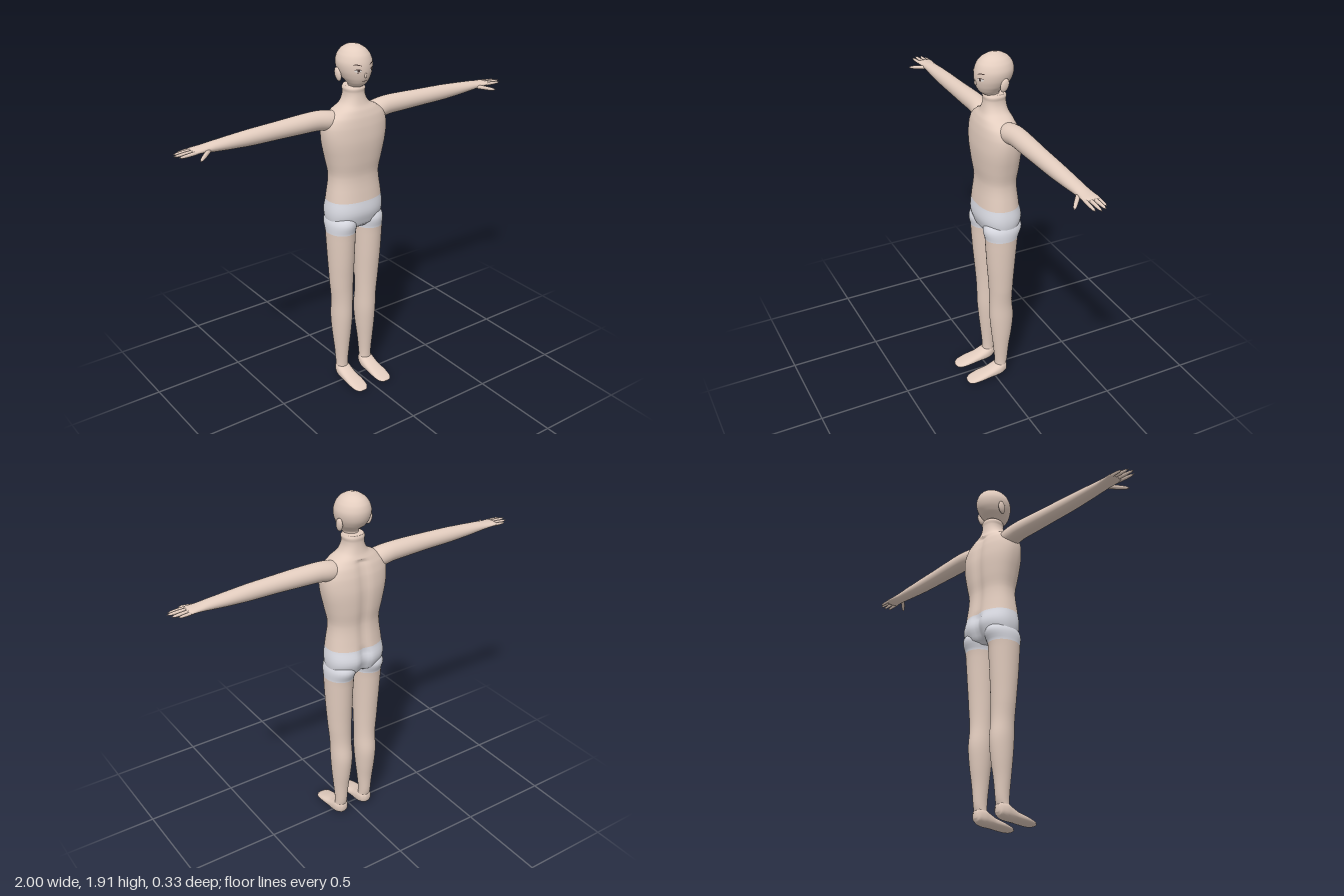
import * as THREE from 'three';

const mat = (name, color) => {
  const m = new THREE.MeshStandardMaterial({ color });
  m.name = name;
  return m;
};

// Cubic interpolation between cross-sections; every given section stays an exact row.
function densify(keys, steps) {
  const rows = [];
  for (let i = 0; i < keys.length - 1; i++) {
    const a = keys[Math.max(i - 1, 0)], b = keys[i], c = keys[i + 1], d = keys[Math.min(i + 2, keys.length - 1)];
    for (let s = 0; s < steps; s++) {
      const t = s / steps;
      rows.push(b.map((_, k) => k === 0 ? b[0] + (c[0] - b[0]) * t
        : 0.5 * (2 * b[k] + (c[k] - a[k]) * t + (2 * a[k] - 5 * b[k] + 4 * c[k] - d[k]) * t * t
          + (3 * b[k] - a[k] - 3 * c[k] + d[k]) * t * t * t)));
    }
  }
  rows.push(keys[keys.length - 1]);
  return rows;
}

// Loft along y through rounded sections [y, centreX, radiusX, centreZ, radiusZ].
// power above 2 squares the section; band(y) picks the material slot of a row.
function loft(keys, { steps = 4, sides = 32, power = 2, band = () => 0, shape } = {}) {
  const rows = densify(keys, steps), pos = [], idx = [], geo = new THREE.BufferGeometry();
  const curve = v => Math.sign(v) * Math.abs(v) ** (2 / power);
  for (const [y, cx, rx, cz, rz] of rows) {
    for (let j = 0; j < sides; j++) {
      const a = j / sides * Math.PI * 2;
      const p = new THREE.Vector3(cx + rx * curve(Math.cos(a)), y, cz + rz * curve(Math.sin(a)));
      if (shape) shape(p);
      pos.push(p.x, p.y, p.z);
    }
  }
  const n = rows.length, first = rows[0], last = rows[n - 1];
  pos.push(first[1], first[0], first[3], last[1], last[0], last[3]);
  const add = (slot, ...tri) => { geo.addGroup(idx.length, 3, slot); idx.push(...tri); };
  const startGroups = [];
  for (let i = 0; i < n - 1; i++) {
    const from = idx.length;
    for (let j = 0; j < sides; j++) {
      const k = (j + 1) % sides, a = i * sides + j, b = i * sides + k;
      idx.push(a, a + sides, b + sides, a, b + sides, b);
    }
    startGroups.push([from, idx.length - from, band((rows[i][0] + rows[i + 1][0]) / 2)]);
  }
  startGroups.forEach(g => geo.addGroup(...g));
  for (let j = 0; j < sides; j++) {
    const k = (j + 1) % sides;
    add(band(first[0]), n * sides, j, k);
    add(band(last[0]), n * sides + 1, (n - 1) * sides + k, (n - 1) * sides + j);
  }
  geo.setAttribute('position', new THREE.Float32BufferAttribute(pos, 3));
  geo.setIndex(idx);
  geo.computeVertexNormals();
  return geo;
}

function mirrored(geo) {
  const g = geo.clone().scale(-1, 1, 1), ix = g.index;
  for (let i = 0; i < ix.count; i += 3) {
    const b = ix.getX(i + 1);
    ix.setX(i + 1, ix.getX(i + 2));
    ix.setX(i + 2, b);
  }
  g.computeVertexNormals();
  return g;
}

export function createModel() {
  const root = new THREE.Group();
  root.name = 'figure';
  const skin = mat('skin', 0xe3cdbf), cloth = mat('shorts cloth', 0xdddee6);
  const dark = mat('face lines', 0x4a3a36), white = mat('eye white', 0xf0ece8);
  const add = (name, geo, material) => {
    const many = Array.isArray(material);
    if (!many) geo.clearGroups();
    const m = new THREE.Mesh(geo, material);
    m.name = name;
    root.add(m);
  };
  const pair = (name, geo, material) => {
    add(name + 'Left', geo, material);
    add(name + 'Right', mirrored(geo), material);
  };

  // Torso, pelvis and neck, with a groove down the back
  add('torso', loft([
    [0.945, 0, 0.11, -0.04, 0.07], [0.965, 0, 0.15, -0.045, 0.095], [1.03, 0, 0.163, -0.047, 0.117],
    [1.1, 0, 0.156, -0.043, 0.108], [1.23, 0, 0.141, -0.043, 0.095], [1.32, 0, 0.158, -0.042, 0.105],
    [1.42, 0, 0.18, -0.04, 0.111], [1.5, 0, 0.185, -0.038, 0.104], [1.55, 0, 0.167, -0.036, 0.093],
    [1.585, 0, 0.125, -0.035, 0.08], [1.61, 0, 0.08, -0.036, 0.068], [1.64, 0, 0.06, -0.037, 0.06],
    [1.67, 0, 0.054, -0.038, 0.056], [1.69, 0, 0.057, -0.038, 0.058], [1.705, 0, 0.05, -0.04, 0.051],
  ], {
    sides: 64, power: 2.3, band: y => (y < 1.1 ? 1 : 0),
    shape: p => {
      if (p.z < -0.05 && p.y < 1.58) p.z += (p.y < 1.1 ? 0.022 : 0.012) * Math.exp(-((p.x / 0.028) ** 2));
    },
  }), [skin, cloth]);

  // Legs with the short trouser ends
  pair('leg', loft([
    [0.035, 0.08, 0.036, -0.038, 0.028], [0.1, 0.08, 0.034, -0.045, 0.036], [0.2, 0.08, 0.042, -0.045, 0.045],
    [0.3, 0.079, 0.052, -0.047, 0.058], [0.4, 0.078, 0.058, -0.047, 0.067], [0.5, 0.079, 0.058, -0.041, 0.063],
    [0.6, 0.083, 0.064, -0.039, 0.066], [0.75, 0.086, 0.071, -0.037, 0.077], [0.92, 0.087, 0.077, -0.038, 0.09],
    [0.98, 0.084, 0.079, -0.044, 0.106], [1.04, 0.08, 0.06, -0.045, 0.08],
  ], { band: y => (y > 0.92 ? 1 : 0) }), [skin, cloth]);

  // Feet, lofted from heel to toe: [z, x, half width, -height centre, half height]
  pair('foot', loft([
    [-0.078, 0.08, 0.012, -0.05, 0.016], [-0.068, 0.08, 0.03, -0.05, 0.034], [-0.04, 0.08, 0.041, -0.046, 0.042],
    [-0.01, 0.08, 0.043, -0.037, 0.036], [0.03, 0.08, 0.043, -0.028, 0.026], [0.09, 0.08, 0.046, -0.02, 0.019],
    [0.14, 0.08, 0.041, -0.012, 0.012], [0.16, 0.08, 0.026, -0.008, 0.007], [0.166, 0.08, 0.008, -0.008, 0.002],
  ], { power: 2.4 }).rotateX(Math.PI / 2), skin);

  // Arms and palms, lofted outward: [x, -height, half height, z, half depth]
  pair('arm', loft([
    [0.08, -1.53, 0.045, -0.045, 0.05], [0.15, -1.54, 0.052, -0.048, 0.055], [0.22, -1.549, 0.05, -0.05, 0.051],
    [0.32, -1.55, 0.048, -0.048, 0.049], [0.45, -1.549, 0.044, -0.046, 0.045], [0.6, -1.547, 0.04, -0.046, 0.042],
    [0.72, -1.546, 0.032, -0.047, 0.039], [0.8, -1.546, 0.025, -0.047, 0.036], [0.85, -1.546, 0.018, -0.048, 0.037],
    [0.895, -1.546, 0.013, -0.048, 0.041], [0.912, -1.545, 0.008, -0.048, 0.038],
  ]).rotateZ(-Math.PI / 2).translate(0, 0, 0), skin);

  // Fingers and thumb: start, tip, radius
  const finger = (name, from, to, r) => {
    const a = new THREE.Vector3(...from), dir = new THREE.Vector3(...to).sub(a), len = dir.length();
    const geo = loft([[0, 0, r, 0, r], [len * 0.5, 0, r * 0.95, 0, r * 0.95], [len * 0.85, 0, r * 0.7, 0, r * 0.7],
      [len, 0, r * 0.15, 0, r * 0.15]], { sides: 10, steps: 2 });
    geo.applyQuaternion(new THREE.Quaternion().setFromUnitVectors(new THREE.Vector3(0, 1, 0), dir.normalize()));
    pair(name, geo.translate(a.x, a.y, a.z), skin);
  };
  finger('littleFinger', [0.89, 1.545, -0.079], [0.965, 1.541, -0.081], 0.008);
  finger('ringFinger', [0.89, 1.547, -0.06], [0.99, 1.543, -0.062], 0.009);
  finger('middleFinger', [0.89, 1.547, -0.038], [1, 1.544, -0.035], 0.009);
  finger('indexFinger', [0.89, 1.545, -0.017], [0.985, 1.541, -0.012], 0.009);
  finger('thumb', [0.83, 1.54, -0.022], [0.908, 1.524, 0.044], 0.011);

  // Head
  const headKeys = [
    [1.69, 0, 0.035, -0.035, 0.035], [1.708, 0, 0.04, -0.015, 0.045], [1.725, 0, 0.052, -0.012, 0.06],
    [1.75, 0, 0.07, -0.022, 0.082], [1.785, 0, 0.085, -0.03, 0.097], [1.825, 0, 0.09, -0.035, 0.1],
    [1.86, 0, 0.079, -0.037, 0.09], [1.885, 0, 0.06, -0.038, 0.07], [1.902, 0, 0.034, -0.038, 0.041],
    [1.91, 0, 0.008, -0.038, 0.01],
  ];
  add('head', loft(headKeys, { sides: 48 }), skin);
  pair('ear', new THREE.SphereGeometry(1, 20, 14).scale(0.013, 0.036, 0.022).rotateX(-0.25)
    .rotateZ(-0.1).translate(0.086, 1.765, -0.05), skin);
  add('nose', new THREE.SphereGeometry(1, 16, 12).scale(0.007, 0.014, 0.008).translate(0, 1.77, 0.064), skin);

  // Face details: thin faces laid on the surface of the head
  const headRows = densify(headKeys, 12);
  const faceZ = (x, y) => {
    let i = 0;
    while (i < headRows.length - 2 && headRows[i + 1][0] < y) i++;
    const a = headRows[i], b = headRows[i + 1], t = (y - a[0]) / (b[0] - a[0]);
    const [, , rx, cz, rz] = a.map((v, k) => v + (b[k] - v) * t);
    return cz + rz * Math.sqrt(Math.max(0, 1 - (x / rx) ** 2));
  };
  const patch = (x, y, w, h, { arch = 0, tilt = 0, lift = 0.002 } = {}) => {
    const g = new THREE.PlaneGeometry(2, 2, 10, 4), p = g.attributes.position;
    for (let i = 0; i < p.count; i++) {
      const u = p.getX(i), v = p.getY(i);
      const px = x + u * w / 2, py = y + v * h / 2 * Math.sqrt(1.04 - u * u) + arch * (1 - u * u) + tilt * u;
      p.setXYZ(i, px, py, faceZ(px, py) + lift);
    }
    g.computeVertexNormals();
    return g;
  };
  pair('eyebrow', patch(0.041, 1.823, 0.036, 0.005, { arch: 0.003, tilt: 0.003 }), dark);
  pair('eyeWhite', patch(0.04, 1.796, 0.03, 0.014), white);
  pair('iris', patch(0.039, 1.796, 0.011, 0.013, { lift: 0.003 }), dark);
  pair('upperLash', patch(0.04, 1.8, 0.034, 0.004, { arch: 0.004, tilt: 0.001, lift: 0.0035 }), dark);
  pair('lowerLash', patch(0.041, 1.789, 0.02, 0.0015, { arch: -0.002, lift: 0.003 }), dark);
  add('mouth', patch(0, 1.738, 0.03, 0.004, { arch: 0.003 }), dark);

  return root;
}
